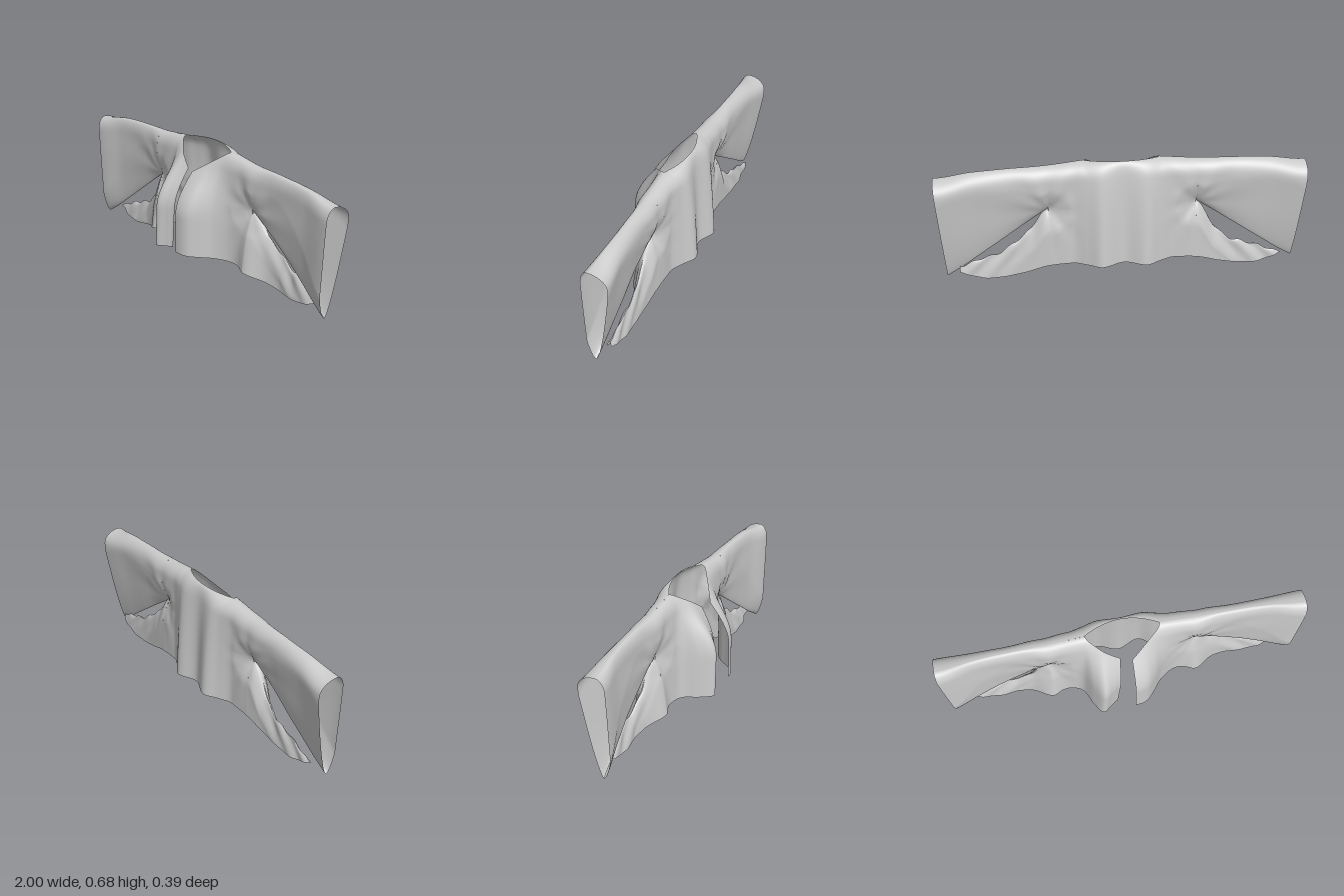
import * as THREE from 'three';

const { lerp, clamp } = THREE.MathUtils;
const ARM = { x: 0.4, y: 0.4 }; // underarm point where the side slit starts

// Value of a list of [x, value] points, straight or as a smooth curve between points
function at(points, x, smooth = false) {
  const last = points.length - 1;
  if (x <= points[0][0]) return points[0][1];
  if (x >= points[last][0]) return points[last][1];
  const i = points.findIndex((p) => p[0] > x) - 1;
  const [x0, v0] = points[i], [x1, v1] = points[i + 1];
  const t = (x - x0) / (x1 - x0);
  if (!smooth) return lerp(v0, v1, t);
  const slope = (k) => (k === 0 || k === last ? 0
    : (points[k + 1][1] - points[k - 1][1]) / (points[k + 1][0] - points[k - 1][0]));
  const m0 = slope(i) * (x1 - x0), m1 = slope(i + 1) * (x1 - x0);
  return v0 + t * (m0 + t * (3 * (v1 - v0) - 2 * m0 - m1 + t * (m0 + m1 - 2 * (v1 - v0))));
}

// Outlines, by distance from the middle
const SHOULDER = [[0, 0.68], [0.2, 0.67], [0.4, 0.65], [0.6, 0.645], [0.8, 0.632], [1, 0.602]];
const HEM = [[0, 0.095], [0.2, 0.088], [0.4, 0.075], [0.55, 0.03], [0.7, 0.006], [0.8, 0.018], [0.9, 0.05]];
const SLIT = [[0.4, 0.4], [0.9, 0.063], [1, 0.005]];
const FLAP_TOP = {
  1: [[0.4, 0.4], [0.5, 0.285], [0.6, 0.205], [0.68, 0.15], [0.76, 0.13], [0.9, 0.085]],
  [-1]: [[0.4, 0.4], [0.5, 0.25], [0.58, 0.17], [0.66, 0.14], [0.76, 0.105], [0.9, 0.055]],
};

// Depth of the folds hanging from the shoulders
const FRONT_FOLD = {
  1: [[0.03, 0.195], [0.1, 0.18], [0.15, 0.13], [0.2, 0.07], [0.28, 0.018], [0.38, 0]],
  [-1]: [[0.03, 0.145], [0.07, 0.165], [0.13, 0.195], [0.18, 0.13], [0.22, 0.05], [0.28, 0.018], [0.38, 0]],
};
const BACK_FOLD = [[0, 0.04], [0.12, 0.08], [0.2, 0.035], [0.28, 0]];

// Depth of the flat cloth, and how far above the sleeve seam it gets there
const FRONT_FLAT = [[0.2, -0.002], [0.4, 0], [0.55, -0.02], [0.8, -0.016], [1, 0.012]];
const BACK_FLAT = [[0.2, -0.12], [0.4, -0.116], [0.6, -0.11], [0.8, -0.115], [1, -0.135]];
const FRONT_REACH = [[0.4, 0.12], [0.6, 0.26], [0.8, 0.22], [1, 0.12]];
const BACK_REACH = [[0.4, 0.12], [0.6, 0.28], [1, 0.48]];

// Uneven, gathered upper edge of the side flap
const flapTop = (side, x) => at(FLAP_TOP[side], x, true)
  + 0.006 * Math.sin(x * 62 + side) * clamp((x - 0.42) / 0.1, 0, 1);

// Depth of the cloth at a point; front is 1 for the front layer, -1 for the back
function depth(part, front, side, x, y) {
  const top = at(SHOULDER, x, true);
  const far = Math.hypot(x - ARM.x, y - ARM.y);
  const out = clamp((x - ARM.x) / 0.2, 0, 1);
  const neck = clamp(x / 0.2, 0, 1);
  let seam = far, reach = 0.12, power = 0.5;
  let flat = at(front > 0 ? FRONT_FLAT : BACK_FLAT, x, true);
  let middle = front > 0 ? -0.05 : lerp(-0.105, -0.05, neck * neck);
  if (part === 'sleeve') {
    seam = y - at(SLIT, x);
    reach = at(front > 0 ? FRONT_REACH : BACK_REACH, x, true);
    if (front < 0) power = lerp(0.5, 0.72, out);
    middle += 0.015 * clamp((x - 0.7) / 0.3, 0, 1);
  }
  if (part === 'flap') {
    seam = flapTop(side, x) - y;
    flat = lerp(flat, front > 0 ? -0.05 : -0.095, out);
    middle -= 0.028 * out;
  }

  // Layers meet at the seams and round over the shoulder
  const pinch = clamp(seam / reach, 0, 1) ** power;
  const d = clamp((top - y) / 0.075, 0, 1);
  const round = Math.sqrt(1 - (1 - d) ** 2);
  let z = lerp(middle, flat, pinch * round);

  if (part === 'body') {
    const drop = top - y;
    if (front > 0) z += at(FRONT_FOLD[side], x, true) * Math.sin(Math.PI / 2 * clamp(drop / 0.36, 0, 1)) ** 1.45;
    else z -= at(BACK_FOLD, x, true) * clamp(drop / 0.58, 0, 1) ** 0.47;
  }
  if (part !== 'sleeve' && front > 0) {
    z += 0.04 * Math.exp(-(((x - 0.42) / 0.07) ** 2)) * clamp((0.3 - y) / 0.25, 0, 1);
  }

  // Creases fanning out from the underarm, and gathers along the flap seam
  const angle = Math.atan2(y - ARM.y, x - ARM.x);
  const spread = part === 'body' ? clamp((x - 0.2) / 0.15, 0, 1) : 1;
  z += 0.004 * Math.cos(8 * angle) * clamp(far / 0.1, 0, 1) * Math.exp(-far * 3) * pinch * round * spread;
  if (part === 'flap') z += 0.018 * Math.sin(x * 48 + y * 40) * out * pinch * Math.exp(-seam / 0.06);
  return z;
}

// Grid of cloth: place(u, v) returns a point for u, v in 0..1
function cloth(name, nu, nv, place, material) {
  const position = [], index = [];
  for (let i = 0; i <= nu; i++) {
    for (let j = 0; j <= nv; j++) {
      position.push(...place(i / nu, (1 - Math.cos(Math.PI * j / nv)) / 2));
      if (i < nu && j < nv) {
        const a = i * (nv + 1) + j, b = a + nv + 1;
        index.push(a, a + 1, b, b, a + 1, b + 1);
      }
    }
  }
  const geometry = new THREE.BufferGeometry();
  geometry.setAttribute('position', new THREE.Float32BufferAttribute(position, 3));
  geometry.setIndex(index);
  geometry.computeVertexNormals();
  const mesh = new THREE.Mesh(geometry, material);
  mesh.name = name;
  return mesh;
}

export function createModel() {
  const group = new THREE.Group();
  group.name = 'openJacket';
  const material = new THREE.MeshStandardMaterial({ color: 0xcccccc, roughness: 0.8, side: THREE.DoubleSide });
  const add = (...args) => group.add(cloth(...args, material));

  // Back panel, one piece from underarm to underarm
  add('backPanel', 80, 36, (u, v) => {
    const x = lerp(-ARM.x, ARM.x, u), ax = Math.abs(x);
    const y = lerp(at(HEM, ax, true), at(SHOULDER, ax, true), v);
    return [x, y, depth('body', -1, Math.sign(x) || 1, ax, y)];
  });

  for (const side of [1, -1]) {
    const label = side > 0 ? 'left' : 'right';

    // Front panel with the slanted neckline
    add(label + 'FrontPanel', 74, 36, (u, v) => {
      const x = lerp(0.03, ARM.x, u);
      const top = x < 0.2 ? lerp(0.545, 0.67, (x - 0.03) / 0.17) : at(SHOULDER, x, true);
      const y = lerp(at(HEM, x, true) + (side > 0 ? 0.014 * (1 - u) : 0), top, v);
      const slant = side < 0 ? 0.04 * (1 - y / 0.55) * (1 - u) : 0;
      return [side * (x + slant), y, depth('body', 1, side, x, y)];
    });

    for (const front of [1, -1]) {
      const layer = front > 0 ? 'Front' : 'Back';

      // Wide sleeve, its cuff leaning in towards the bottom
      add(label + 'Sleeve' + layer, 60, 36, (u, v) => {
        const x = lerp(ARM.x, 1, u);
        const y = lerp(at(SLIT, x), at(SHOULDER, x, true), v);
        return [side * (x - 0.04 * (1 - y / 0.6) * u), y, depth('sleeve', front, side, x, y)];
      });

      // Gathered side flap below the slit
      add(label + 'Flap' + layer, 60, 24, (u, v) => {
        const x = lerp(ARM.x, 0.89, u);
        const y = lerp(at(HEM, x, true), flapTop(side, x), v);
        return [side * x, y, depth('flap', front, side, x, y)];
      });
    }
  }
  return group;
}
